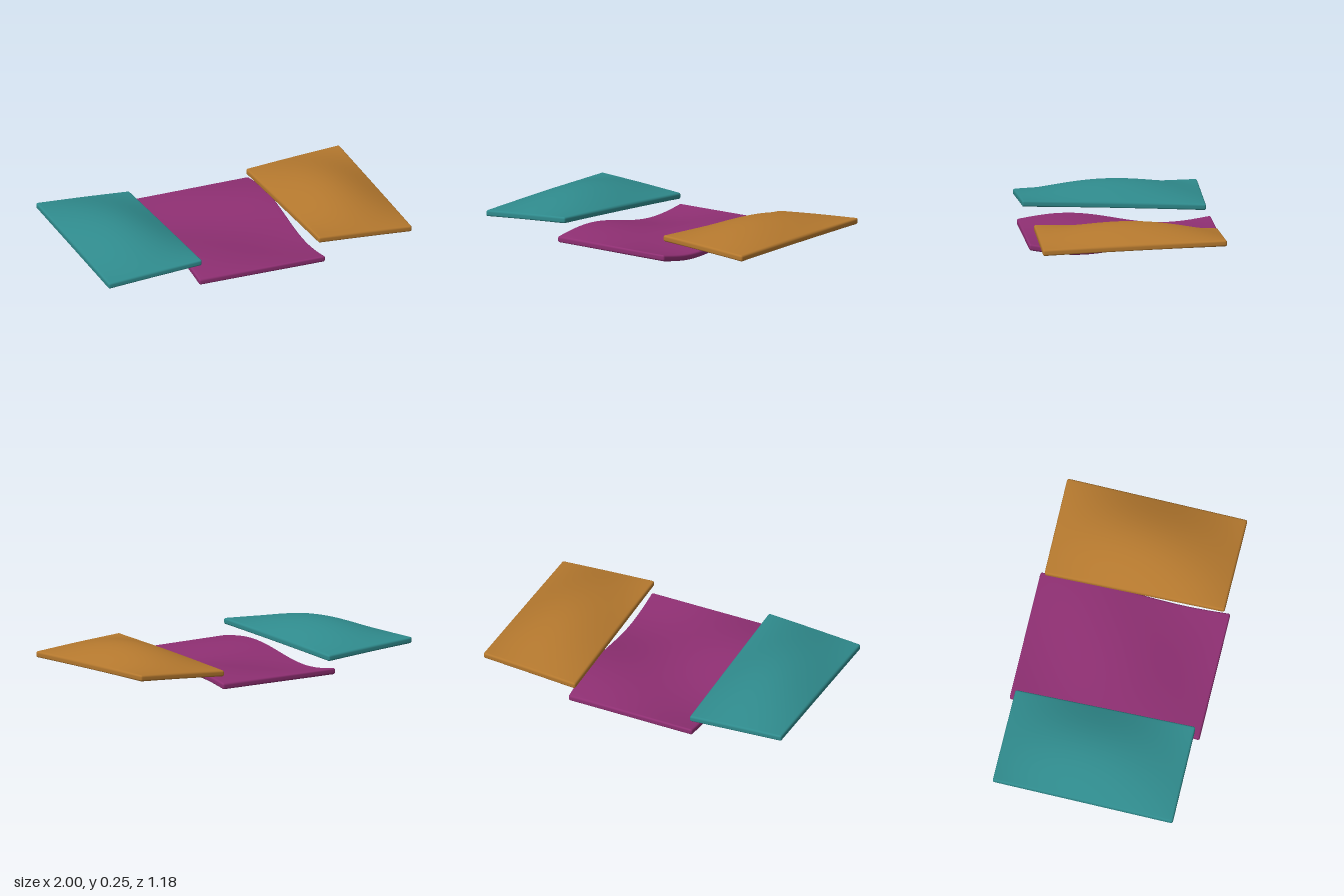
import * as THREE from 'three';
import { mergeVertices } from 'three/addons/utils/BufferGeometryUtils.js';

const THICK = 0.038; // panel thickness
const ROUND = 0.012; // edge rounding radius
const K = 3;         // grid cells across each rounded edge
const N = 38;        // grid cells across a panel
const NY = 2 * K + 1;

const material = (name, color) => Object.assign(new THREE.MeshStandardMaterial({ color }), { name });

// Moves an evenly spaced grid position so K cells fall inside each rounded edge
function remap(t, cells, size) {
  const i = Math.round((t + 0.5) * cells);
  const half = size / 2;
  if (i <= K) return -half + (ROUND * i) / K;
  if (i >= cells - K) return half - (ROUND * (cells - i)) / K;
  return -half + ROUND + ((size - 2 * ROUND) * (i - K)) / (cells - 2 * K);
}

// Thin slab with rounded edges, bent by height(u, v) where u and v run from -1 to 1
function bentPanel(width, depth, height) {
  const geo = new THREE.BoxGeometry(1, 1, 1, N, NY, N);
  const pos = geo.attributes.position;
  const size = new THREE.Vector3(width, THICK, depth);
  const inner = size.clone().multiplyScalar(0.5).subScalar(ROUND);
  const p = new THREE.Vector3();
  const core = new THREE.Vector3();
  for (let i = 0; i < pos.count; i++) {
    p.set(
      remap(pos.getX(i), N, width),
      remap(pos.getY(i), NY, THICK),
      remap(pos.getZ(i), N, depth)
    );
    core.copy(p).clamp(inner.clone().negate(), inner);
    p.sub(core).setLength(ROUND).add(core);
    p.y += height((2 * p.x) / width, (2 * p.z) / depth);
    pos.setXYZ(i, p.x, p.y, p.z);
  }
  geo.deleteAttribute('normal');
  geo.deleteAttribute('uv');
  const merged = mergeVertices(geo, 1e-5);
  merged.computeVertexNormals();
  return merged;
}

export function createModel() {
  const model = new THREE.Group();
  model.name = 'wavyPanels';

  const add = (name, geometry, mat, x, y) => {
    const mesh = new THREE.Mesh(geometry, mat);
    mesh.name = name;
    mesh.position.set(x, y, 0);
    model.add(mesh);
  };

  // Centre panel: a full wave along z that flips from one side to the other
  const wave = (u, v) => -0.034 * Math.sin((Math.PI / 2) * u) * Math.sin(Math.PI * v);
  add('centrePanel', bentPanel(0.83, 1.18, wave), material('purple', 0x8e2f72), 0, 0.053);

  // Side panels: a shallow dome with a slight twist, mirrored left and right
  const sides = [
    ['leftPanel', 1, material('ochre', 0xb4782e)],
    ['rightPanel', -1, material('teal', 0x2f8a8c)],
  ];
  for (const [name, side, mat] of sides) {
    const dome = (u, v) =>
      0.083 * Math.cos((Math.PI / 2) * u) * Math.cos((Math.PI / 2) * v) - 0.021 * side * u * v;
    add(name, bentPanel(0.616, 1.12, dome), mat, side * 0.692, 0.148);
  }
  return model;
}
